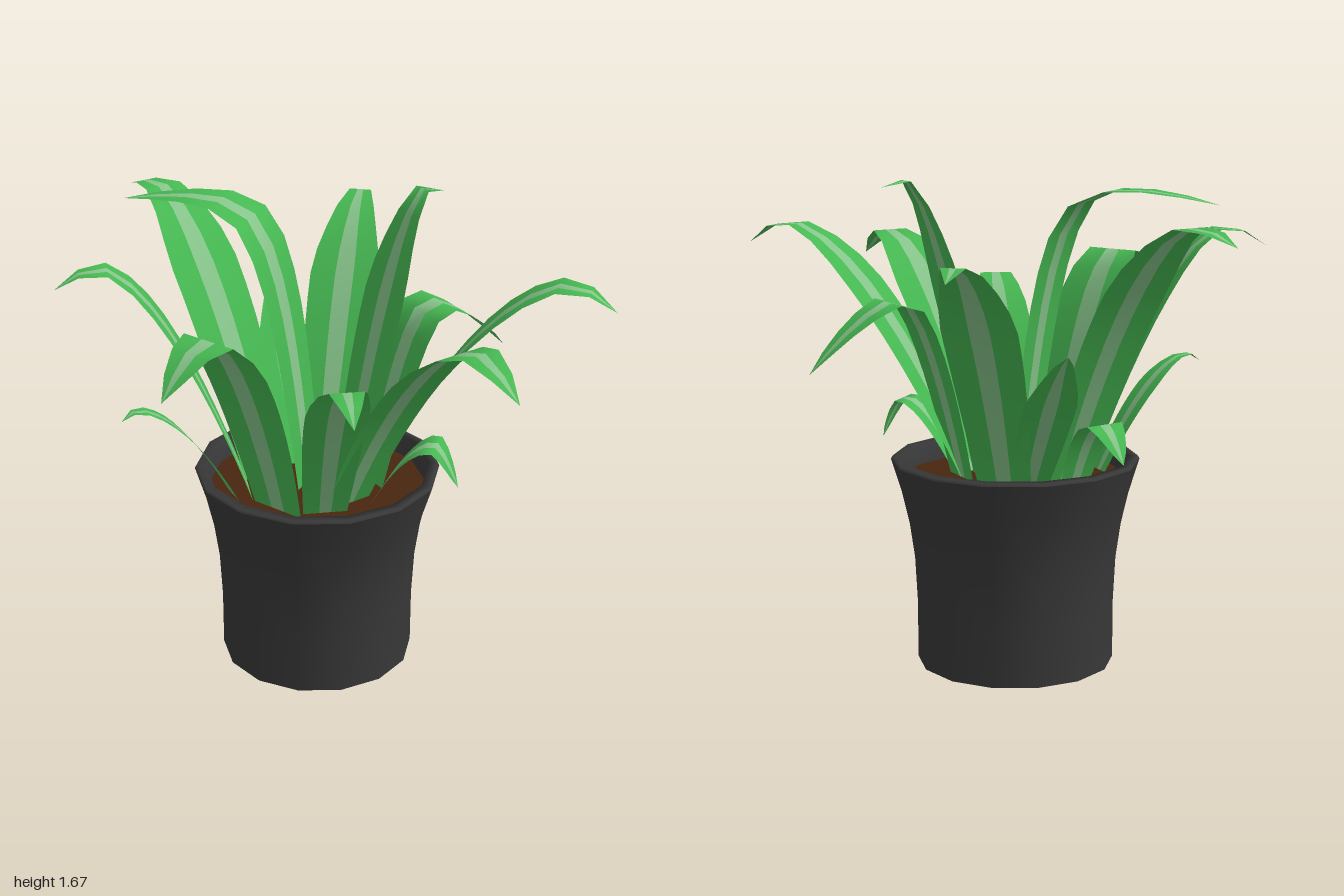
import * as THREE from 'three';

const mat = (color, side = THREE.FrontSide) =>
  new THREE.MeshStandardMaterial({ color, side, roughness: 0.8 });
const potMat = mat(0x383838);
const soilMat = mat(0x4a2610, THREE.DoubleSide);
const bladeMat = mat(0x46b852, THREE.DoubleSide);
const stripeMat = mat(0x86c48a, THREE.DoubleSide);

const SOIL = 0.65;
const STEPS = 12;

// base x, z; tip x, z; width; share of the reach at the peak; peak and tip height; bend
const LEAVES = {
  rightLeaf: [0.17, -0.02, 0.99, 0.03, 0.26, 0.78, 1.43, 1.33],
  backRightLeaf: [0.13, -0.12, 0.84, -0.56, 0.28, 0.83, 1.5, 1.42],
  frontRightLeaf: [0.17, 0.08, 0.62, 0.35, 0.21, 0.78, 1.28, 1.21],
  frontLeaf: [0.05, 0.19, 0.16, 0.73, 0.28, 0.64, 1.39, 1.25],
  frontLeftLeaf: [-0.13, 0.17, -0.45, 0.71, 0.25, 0.78, 1.5, 1.43],
  smallFrontLeaf: [-0.13, 0.24, -0.23, 0.62, 0.13, 0.87, 1.04, 1.01],
  tallLeftLeaf: [-0.06, -0.04, -0.65, 0.29, 0.28, 0.62, 1.64, 1.6, 4.5],
  leftLeaf: [-0.19, 0.04, -1.0, 0.02, 0.27, 0.78, 1.56, 1.51],
  backLeftLeaf: [-0.16, -0.2, -0.57, -0.74, 0.25, 0.89, 1.46, 1.42],
  backLeaf: [0.08, -0.2, 0.18, -0.74, 0.24, 0.42, 1.28, 1.05],
  tallBackLeaf: [0.03, -0.14, 0.1, -0.5, 0.24, 0.82, 1.68, 1.65],
  smallBackLeftLeaf: [-0.17, -0.1, -0.58, -0.28, 0.18, 1, 1.16, 1.16, 1.2],
  smallLeftLeaf: [-0.3, -0.02, -0.56, -0.03, 0.16, 0.6, 0.9, 0.78],
  smallRightLeaf: [0.2, -0.12, 0.45, -0.27, 0.16, 0.7, 0.89, 0.74],
};

// height along the reach: a slowing climb to the peak, then a droop to the tip
function heightAt(t, peakAt, peak, tip, bend) {
  if (t <= peakAt) return peak - (peak - SOIL) * Math.pow(1 - t / peakAt, bend);
  return peak - (peak - tip) * Math.pow((t - peakAt) / (1 - peakAt), 1.5);
}

// half width along the leaf: broad base, widest past the middle, pointed tip
function halfWidth(t, width) {
  const body = 0.72 + 0.28 * Math.sin(Math.min(t / 0.6, 1) * Math.PI / 2);
  const taper = t < 0.62 ? 1 : Math.pow(1 - (t - 0.62) / 0.38, 0.75);
  return 0.5 * width * body * taper;
}

// flat bands along the spine; each band is a pair of shares of the half width
function bands(points, across, width, pairs) {
  const pos = [], index = [];
  for (const [a, b] of pairs) {
    const start = pos.length / 3;
    points.forEach((p, i) => {
      const w = halfWidth(i / STEPS, width);
      for (const u of [a, b]) pos.push(...p.clone().addScaledVector(across, u * w).toArray());
      if (i < STEPS) {
        const k = start + i * 2;
        index.push(k, k + 1, k + 2, k + 1, k + 3, k + 2);
      }
    });
  }
  const g = new THREE.BufferGeometry();
  g.setAttribute('position', new THREE.Float32BufferAttribute(pos, 3));
  g.setIndex(index);
  g.computeVertexNormals();
  return g;
}

function addMesh(parent, name, geometry, material) {
  const m = new THREE.Mesh(geometry, material);
  m.name = name;
  parent.add(m);
  return m;
}

function makeLeaf(name, [x, z, tipX, tipZ, width, peakAt, peak, tip, bend = 1.7]) {
  const leaf = new THREE.Group();
  leaf.name = name;
  const dx = tipX - x, dz = tipZ - z;
  const samples = 24;
  const spine = new THREE.CatmullRomCurve3(Array.from({ length: samples + 1 }, (_, i) => {
    const t = i / samples;
    return new THREE.Vector3(x + dx * t, heightAt(t, peakAt, peak, tip, bend), z + dz * t);
  }));
  const points = spine.getSpacedPoints(STEPS);
  const across = new THREE.Vector3(dz, 0, -dx).normalize();
  addMesh(leaf, 'blade', bands(points, across, width, [[-1, -0.27], [0.27, 1]]), bladeMat);
  addMesh(leaf, 'midStripe', bands(points, across, width, [[-0.27, 0.27]]), stripeMat);
  return leaf;
}

function makePot() {
  const pot = new THREE.Group();
  pot.name = 'pot';
  const lathe = pts => new THREE.LatheGeometry(pts.map(p => new THREE.Vector2(...p)), 14);
  addMesh(pot, 'wall', lathe([[0.34, 0], [0.34, 0.2], [0.348, 0.36], [0.365, 0.48],
    [0.39, 0.59], [0.427, 0.71]]), potMat);
  addMesh(pot, 'rim', lathe([[0.427, 0.71], [0.422, 0.72], [0.39, 0.72], [0.375, 0.63]]), potMat);
  // discs share the corners of the lathe
  const disc = (name, r, y, tilt, material) => {
    const d = addMesh(pot, name, new THREE.CircleGeometry(r, 14, Math.PI / 2), material);
    d.rotation.x = tilt;
    d.position.y = y;
  };
  disc('bottom', 0.34, 0, Math.PI / 2, potMat);
  disc('soil', 0.38, SOIL, -Math.PI / 2, soilMat);
  pot.rotation.y = Math.PI / 2;
  pot.position.set(-0.02, 0, -0.045);
  return pot;
}

export function createModel() {
  const model = new THREE.Group();
  model.name = 'pottedPlant';
  model.add(makePot());
  const leaves = new THREE.Group();
  leaves.name = 'leaves';
  for (const [name, numbers] of Object.entries(LEAVES)) leaves.add(makeLeaf(name, numbers));
  model.add(leaves);
  return model;
}
